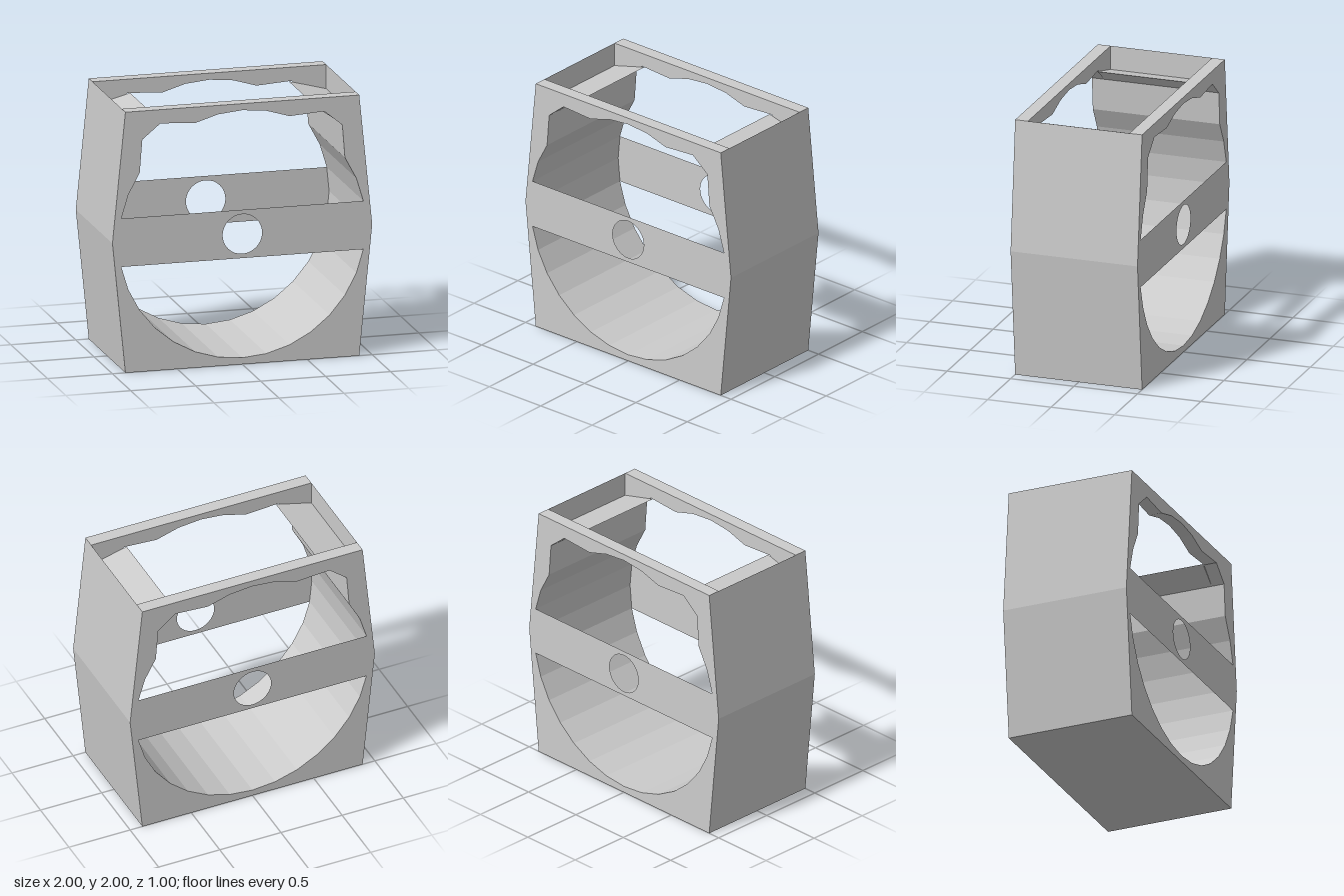
import * as THREE from 'three';

const mirror = (pts) => pts.map(([x, y]) => [-x, y]).reverse();
const toVectors = (pts) => pts.map(([x, y]) => new THREE.Vector2(x, y));

export function createModel() {
  const group = new THREE.Group();
  const material = new THREE.MeshStandardMaterial({
    color: 0xcccccc, flatShading: true, side: THREE.DoubleSide,
  });

  const add = (name, geometry, z) => {
    const mesh = new THREE.Mesh(geometry, material);
    mesh.name = name;
    mesh.position.z = z;
    group.add(mesh);
  };
  const extrude = (shape, depth) =>
    new THREE.ExtrudeGeometry(shape, { depth, bevelEnabled: false });

  // Points of the 32-sided bore, counted from straight down
  const R = 0.95;
  const bore = (k) => {
    const a = (k * Math.PI) / 16;
    return [R * Math.sin(a), 1 - R * Math.cos(a)];
  };
  const range = (from, to) =>
    Array.from({ length: to - from + 1 }, (_, i) => bore(from + i));

  // Plate opening: round bore with a pocket in each upper corner
  const lowerRight = range(1, 11);
  const openingRight = [...lowerRight, [0.77, 1.78], [0.63, 1.895], ...range(14, 15)];
  const opening = [bore(0), ...openingRight, bore(16), ...mirror(openingRight)];

  // Front and back plates
  const outline = [[-0.9, 0], [0.9, 0], [1, 1], [0.9, 2], [-0.9, 2], [-1, 1]];
  const plate = new THREE.Shape(toVectors(outline));
  plate.holes.push(new THREE.Path(toVectors(opening)));
  add('frontPlate', extrude(plate, 0.1), 0.4);
  add('backPlate', extrude(plate, 0.1), -0.5);

  // Middle body: open at the top, with sloping shelves beside the opening
  const innerRight = [...lowerRight, [0.77, 1.78], [0.61, 1.893], [0.9, 1.815]];
  const body = [
    [-0.9, 2], [-1, 1], [-0.9, 0], [0.9, 0], [1, 1], [0.9, 2],
    ...innerRight.slice().reverse(), bore(0), ...mirror(innerRight).reverse(),
  ];
  add('body', extrude(new THREE.Shape(toVectors(body)), 0.8), -0.4);

  // Thin crossbars with a round hole, flush with the outer faces
  const barRight = range(7, 9);
  const bar = new THREE.Shape(toVectors([...barRight, ...mirror(barRight)]));
  const pinHole = new THREE.Path();
  pinHole.absarc(0, 1, 0.152, 0, Math.PI * 2, true);
  bar.holes.push(pinHole);
  const barGeometry = new THREE.ShapeGeometry(bar, 16);
  add('frontCrossbar', barGeometry, 0.5);
  add('backCrossbar', barGeometry, -0.5);

  return group;
}
